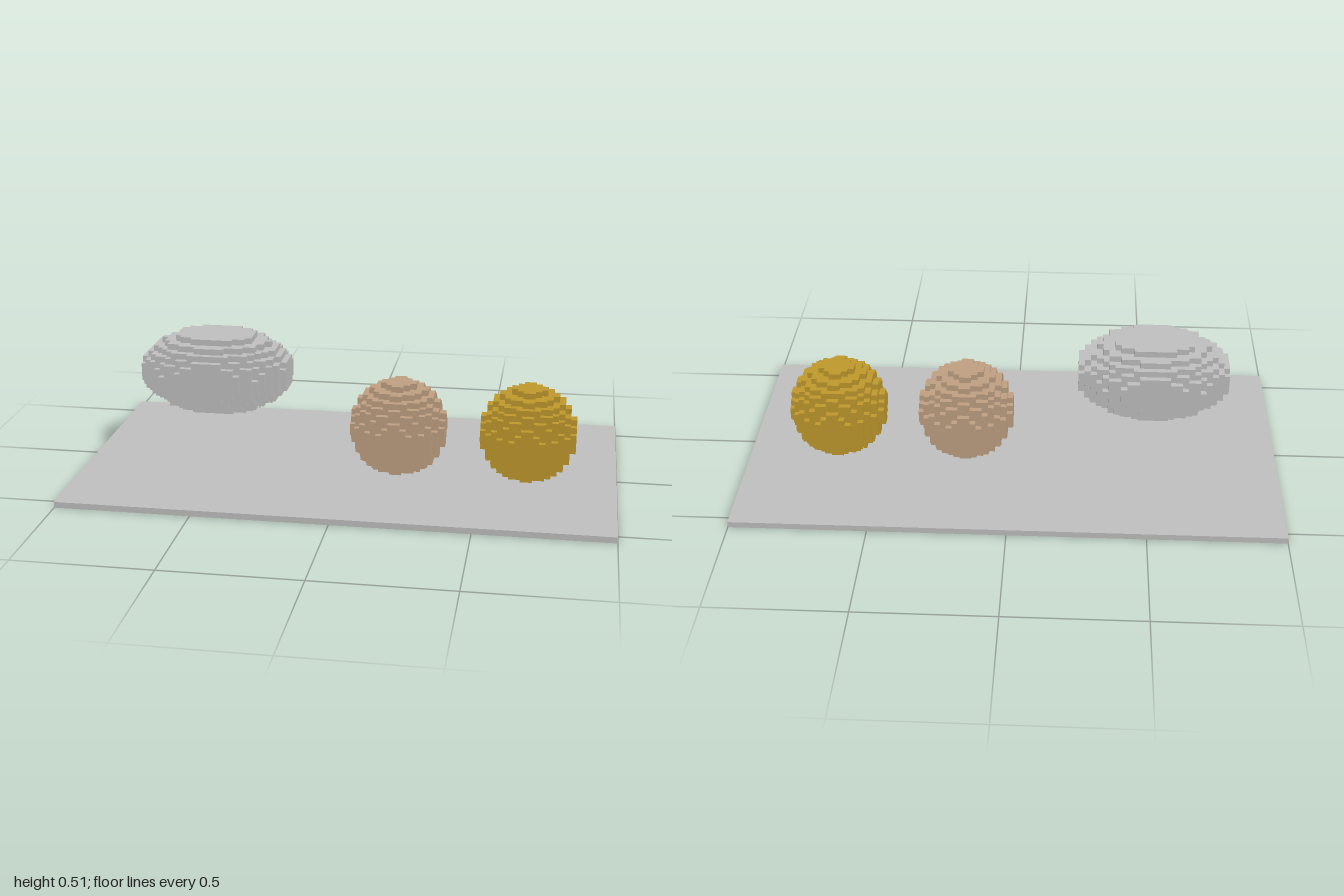
import * as THREE from 'three';

const V = 2 / 90; // edge of one small cube

const silver = new THREE.MeshStandardMaterial({ color: 0xbfbfbf });
silver.name = 'silver';
const copper = new THREE.MeshStandardMaterial({ color: 0xbf9f82 });
copper.name = 'copper';
const gold = new THREE.MeshStandardMaterial({ color: 0xbf992d });
gold.name = 'gold';

// Stepped ellipsoid of small cubes: only the outer cube faces are made.
// Centre c and radii r are counted in cubes; cubes below the plate top are left out.
function steppedEllipsoid(name, c, r, material) {
  const filled = (cell) => cell[1] >= 1 &&
    cell.reduce((sum, k, a) => sum + ((k + 0.5 - c[a]) / r[a]) ** 2, 0) < 1;
  const positions = [], normals = [], indices = [];
  const lo = c.map((v, a) => Math.floor(v - r[a]));
  const hi = c.map((v, a) => Math.ceil(v + r[a]));

  for (let i = lo[0]; i < hi[0]; i++)
    for (let j = lo[1]; j < hi[1]; j++)
      for (let k = lo[2]; k < hi[2]; k++) {
        const cell = [i, j, k];
        if (!filled(cell)) continue;
        for (let axis = 0; axis < 3; axis++)
          for (const side of [-1, 1]) {
            const next = [...cell];
            next[axis] += side;
            if (filled(next)) continue;
            const u = (axis + 1) % 3, w = (axis + 2) % 3;
            const normal = [0, 0, 0];
            normal[axis] = side;
            const start = positions.length / 3;
            for (const [du, dw] of [[0, 0], [1, 0], [1, 1], [0, 1]]) {
              const p = [...cell];
              p[axis] += side > 0 ? 1 : 0;
              p[u] += du;
              p[w] += dw;
              positions.push(...p.map((v) => v * V));
              normals.push(...normal);
            }
            const order = side > 0 ? [0, 1, 2, 0, 2, 3] : [0, 2, 1, 0, 3, 2];
            indices.push(...order.map((n) => start + n));
          }
      }

  const geometry = new THREE.BufferGeometry();
  geometry.setAttribute('position', new THREE.Float32BufferAttribute(positions, 3));
  geometry.setAttribute('normal', new THREE.Float32BufferAttribute(normals, 3));
  geometry.setIndex(indices);
  const mesh = new THREE.Mesh(geometry, material);
  mesh.name = name;
  return mesh;
}

export function createModel() {
  const model = new THREE.Group();
  model.name = 'steppedBallsOnPlate';

  // Thin ground plate, one cube thick
  const plate = new THREE.Mesh(new THREE.BoxGeometry(90 * V, V, 50 * V), silver);
  plate.name = 'basePlate';
  plate.position.y = V / 2;
  model.add(plate);

  // Two balls resting on the plate and a floating ellipsoid
  model.add(
    steppedEllipsoid('copperBall', [8, 8, 0], [8, 8, 8], copper),
    steppedEllipsoid('goldBall', [30, 8, 0], [8, 8, 8], gold),
    steppedEllipsoid('silverEllipsoid', [-23.5, 16.5, -0.5], [13, 7, 9], silver),
  );
  return model;
}
